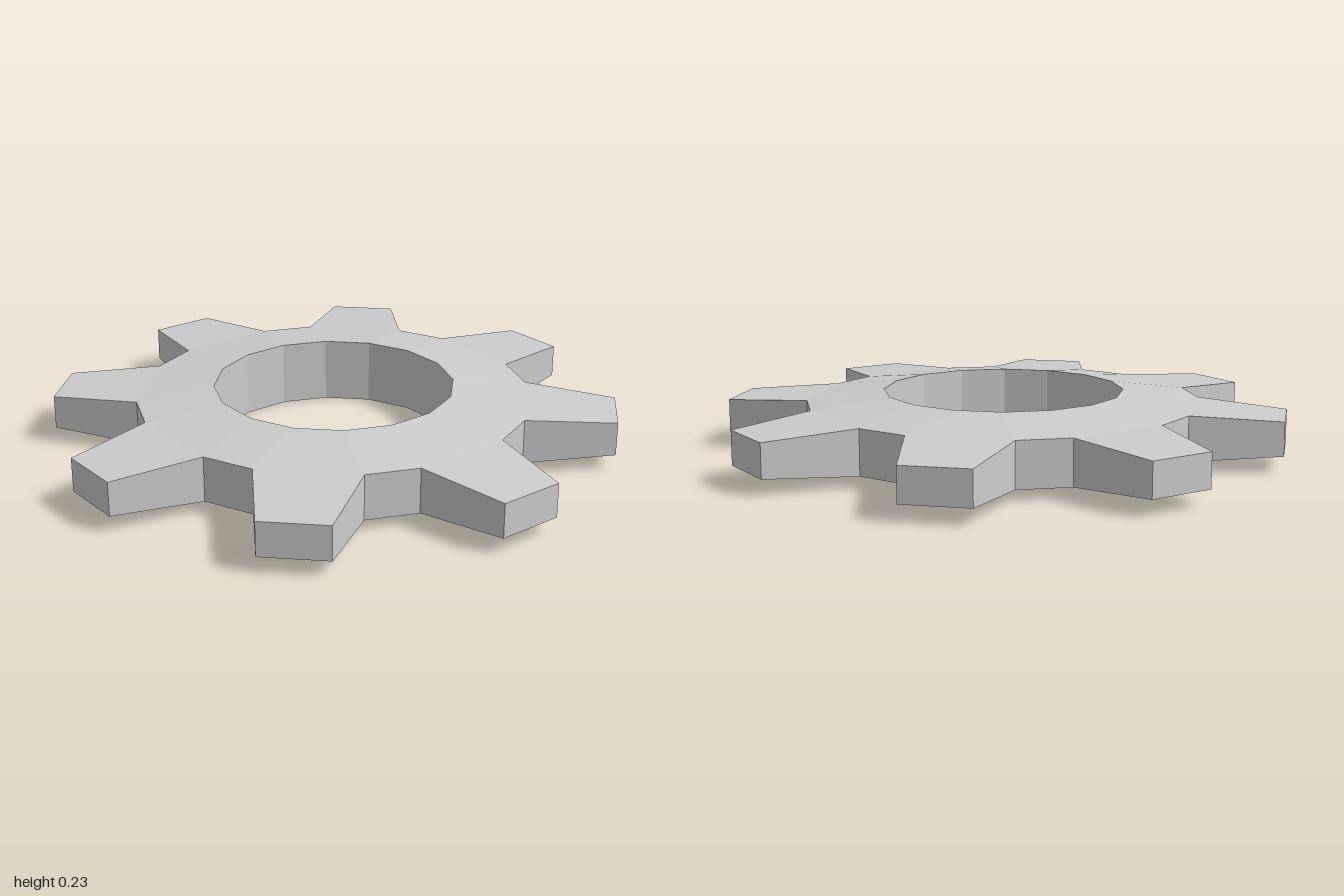
import * as THREE from 'three';

const TEETH = 8;
const MID_Y = 0.116;
// radius and half thickness of the three profile rings
const HOLE = { r: 0.427, h: 0.116 };
const ROOT = { r: 0.7, h: 0.08 };
const TIP = { r: 1.003, h: 0.06 };
// half angles of a tooth, in degrees
const HOLE_HALF = 11.25, ROOT_HALF = 14.8, TIP_HALF = 6.7;

const point = (ring, deg, side) => {
  const a = THREE.MathUtils.degToRad(deg);
  return [ring.r * Math.cos(a), MID_Y + side * ring.h, ring.r * Math.sin(a)];
};

const quad = (out, a, b, c, d) => out.push(...a, ...b, ...c, ...a, ...c, ...d);

// upright wall from p to q, each given as [ring, degrees]
function wall(out, p, q) {
  quad(out, point(...p, -1), point(...p, 1), point(...q, 1), point(...q, -1));
}

// matching top and bottom faces between an inner and an outer edge
function faces(out, in0, in1, out1, out0) {
  quad(out, ...[in0, in1, out1, out0].map(p => point(...p, 1)));
  quad(out, ...[out0, out1, in1, in0].map(p => point(...p, -1)));
}

function makeMesh(name, positions, material) {
  const geometry = new THREE.BufferGeometry();
  geometry.setAttribute('position', new THREE.Float32BufferAttribute(positions, 3));
  geometry.computeVertexNormals();
  const mesh = new THREE.Mesh(geometry, material);
  mesh.name = name;
  return mesh;
}

export function createModel() {
  const group = new THREE.Group();
  group.name = 'gear';
  const material = new THREE.MeshStandardMaterial({ color: 0xcccccc, flatShading: true });
  const step = 360 / TEETH;
  const ring = [];

  for (let i = 0; i < TEETH; i++) {
    const c = i * step - HOLE_HALF;
    const h0 = [HOLE, c - HOLE_HALF], h1 = [HOLE, c + HOLE_HALF];
    const r0 = [ROOT, c - ROOT_HALF], r1 = [ROOT, c + ROOT_HALF];
    const t0 = [TIP, c - TIP_HALF], t1 = [TIP, c + TIP_HALF];
    const hNext = [HOLE, c + step - HOLE_HALF], rNext = [ROOT, c + step - ROOT_HALF];

    // tapered ring: section behind the tooth, then section at the gap
    faces(ring, h0, h1, r1, r0);
    faces(ring, h1, hNext, rNext, r1);
    wall(ring, h1, h0);
    wall(ring, hNext, h1);
    wall(ring, r1, rNext);

    // tooth
    const tooth = [];
    faces(tooth, r0, r1, t1, t0);
    wall(tooth, r0, t0);
    wall(tooth, t0, t1);
    wall(tooth, t1, r1);
    group.add(makeMesh(`tooth${i + 1}`, tooth, material));
  }

  group.add(makeMesh('ring', ring, material));
  return group;
}
